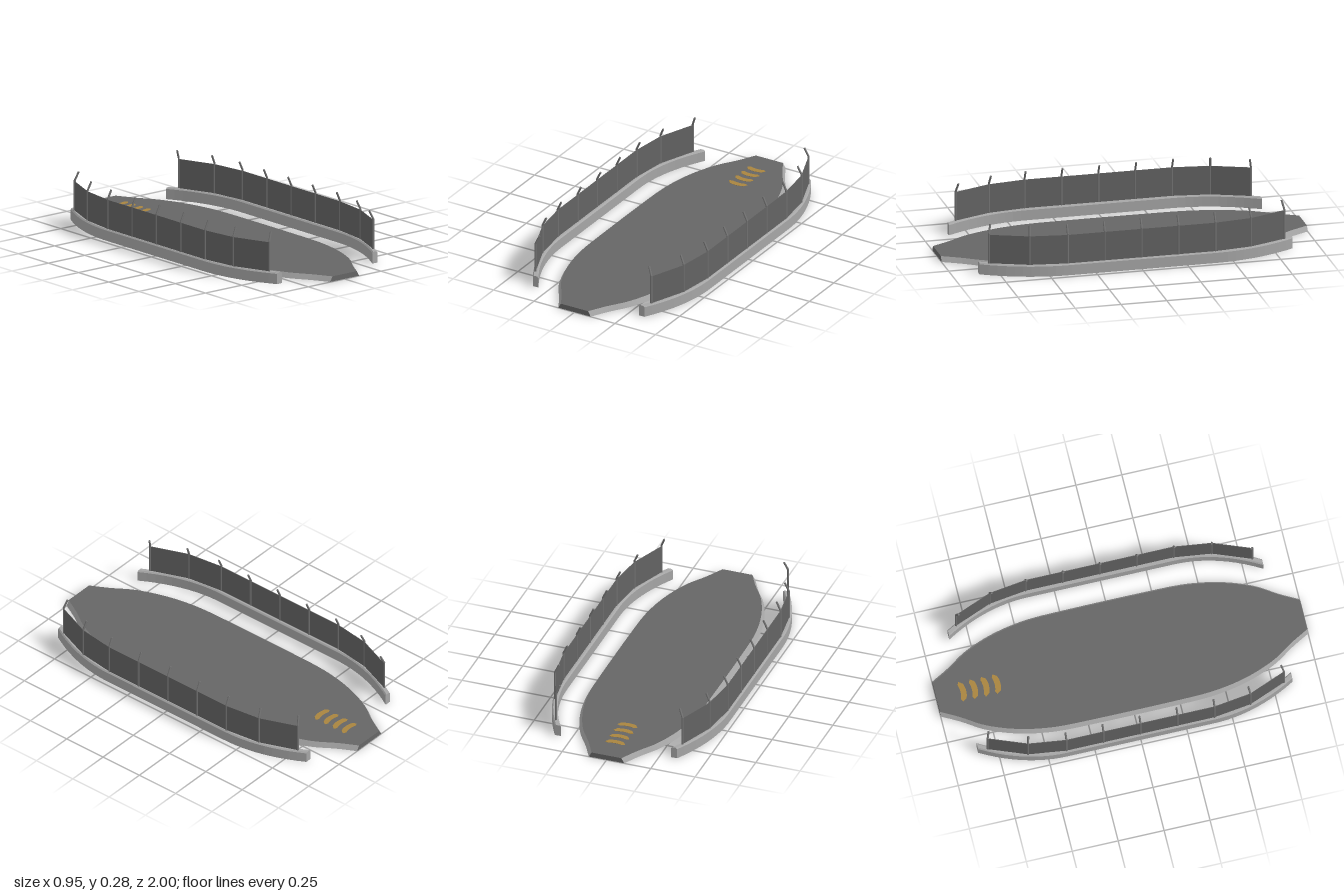
import * as THREE from 'three';

const mat = (name, color) => {
  const m = new THREE.MeshStandardMaterial({ color });
  m.name = name;
  return m;
};

// Skin a row of cross-sections (counter-clockwise seen from +z, running towards +z)
function loft(rings, edges, caps) {
  const pos = [];
  const tri = (a, b, c) => pos.push(...a, ...b, ...c);
  const n = rings[0].length;
  for (let r = 0; r + 1 < rings.length; r++) {
    const a = rings[r], b = rings[r + 1];
    for (const i of edges) {
      const j = (i + 1) % n;
      tri(a[i], a[j], b[j]);
      tri(a[i], b[j], b[i]);
    }
  }
  if (caps) {
    const first = rings[0], last = rings[rings.length - 1];
    for (let k = 1; k + 1 < n; k++) {
      tri(last[0], last[k], last[k + 1]);
      tri(first[0], first[k + 1], first[k]);
    }
  }
  const g = new THREE.BufferGeometry();
  g.setAttribute('position', new THREE.Float32BufferAttribute(pos, 3));
  g.computeVertexNormals();
  return g;
}

export function createModel() {
  const asphalt = mat('asphalt', 0x666666);
  const concrete = mat('concrete', 0xa6a6a6);
  const mesh = mat('fence mesh', 0x636363);
  const steel = mat('post steel', 0x757575);
  const paint = mat('road paint', 0xa8843f);

  const model = new THREE.Group();
  model.name = 'roadSection';
  const add = (parent, name, geo, material) => {
    const m = new THREE.Mesh(geo, material);
    m.name = name;
    parent.add(m);
    return m;
  };

  // Road deck: wide middle narrowing to both ends, with sloped concrete edges
  const half = [[0.1, 1], [0.155, 0.9], [0.22, 0.8], [0.264, 0.7], [0.295, 0.6],
    [0.315, 0.5], [0.326, 0.4], [0.33, 0.2]];
  const outline = new THREE.CatmullRomCurve3([
    ...half.map(([x, z]) => new THREE.Vector3(x, 0, -z)),
    ...half.slice().reverse().map(([x, z]) => new THREE.Vector3(x, 0, z)),
  ]);
  const deckTop = 0.028;
  const deckRings = outline.getPoints(60).map(({ x, z }) => [
    [-x, 0, z], [x, 0, z], [x - 0.016, deckTop, z], [0.016 - x, deckTop, z],
  ]);
  add(model, 'roadSurface', loft(deckRings, [0, 2], true), asphalt);
  add(model, 'roadEdges', loft(deckRings, [1, 3], false), concrete);

  // Painted crescent marks, on the top and underside
  const crescent = new THREE.Shape();
  crescent.moveTo(-0.057, 0.012);
  crescent.lineTo(-0.04, 0.02);
  crescent.quadraticCurveTo(0, 0.006, 0.04, 0.02);
  crescent.lineTo(0.057, 0.012);
  crescent.lineTo(0.042, -0.01);
  crescent.quadraticCurveTo(0, -0.026, -0.042, -0.01);
  crescent.closePath();
  const markGeo = new THREE.ExtrudeGeometry(crescent, { depth: 0.001, bevelEnabled: false, curveSegments: 8 });
  markGeo.rotateX(-Math.PI / 2);
  for (const z of [-0.855, -0.793, -0.731, -0.669]) {
    add(model, 'roadMark', markGeo, paint).position.set(0, deckTop, z);
    add(model, 'roadMarkUnderside', markGeo, paint).position.set(0, -0.001, z);
  }

  // Barrier centre line: straight in the middle, curving in at the ends
  const bend = (z) => Math.max(0, Math.abs(z) - 0.4);
  const lineX = (z) => 0.46 - 0.64 * bend(z) ** 2;
  const slope = (z) => -1.28 * bend(z) * Math.sign(z);

  const barrier = new THREE.Group();
  barrier.name = 'leftBarrier';
  model.add(barrier);

  // Chamfered concrete curb
  const curbRings = [];
  const steps = 40, curbTop = 0.063, chamfer = 0.007;
  for (let i = 0; i <= steps; i++) {
    const z = -0.855 + (1.71 * i) / steps;
    const x = lineX(z), w = 0.015 * Math.hypot(1, slope(z));
    curbRings.push([
      [x - w, 0, z], [x + w, 0, z], [x + w, curbTop - chamfer, z],
      [x + w - chamfer, curbTop, z], [x - w + chamfer, curbTop, z], [x - w, curbTop - chamfer, z],
    ]);
  }
  add(barrier, 'curb', loft(curbRings, [0, 1, 2, 3, 4, 5], true), concrete);

  // Posts with tips leaning inward
  const postTop = 0.228, leanX = 0.021, leanY = 0.045;
  const uprightGeo = new THREE.CylinderGeometry(0.0055, 0.0055, postTop - 0.05, 8);
  const tipGeo = new THREE.CylinderGeometry(0.0055, 0.0055, Math.hypot(leanX, leanY) + 0.004, 8);
  const spots = [];
  for (let i = -4; i <= 4; i++) {
    const z = i * 0.2015;
    spots.push(new THREE.Vector3(lineX(z) + 0.003, 0, z));
    const post = new THREE.Group();
    post.name = 'fencePost';
    post.position.copy(spots[spots.length - 1]);
    post.rotation.y = Math.atan(slope(z));
    add(post, 'upright', uprightGeo, steel).position.y = (postTop + 0.05) / 2;
    const tip = add(post, 'leaningTip', tipGeo, steel);
    tip.position.set(-leanX / 2, postTop + leanY / 2 - 0.001, 0);
    tip.rotation.z = Math.atan2(leanX, leanY);
    barrier.add(post);
  }

  // Straight fence panels between neighbouring posts
  const low = 0.061, high = 0.222;
  for (let i = 0; i + 1 < spots.length; i++) {
    const a = spots[i], b = spots[i + 1];
    const panel = add(barrier, 'fencePanel', new THREE.BoxGeometry(0.003, high - low, a.distanceTo(b)), mesh);
    panel.position.copy(a).add(b).multiplyScalar(0.5).setY((low + high) / 2);
    panel.rotation.y = Math.atan2(b.x - a.x, b.z - a.z);
  }

  // Matching barrier on the other side
  const other = barrier.clone();
  other.name = 'rightBarrier';
  other.rotation.y = Math.PI;
  model.add(other);

  return model;
}
